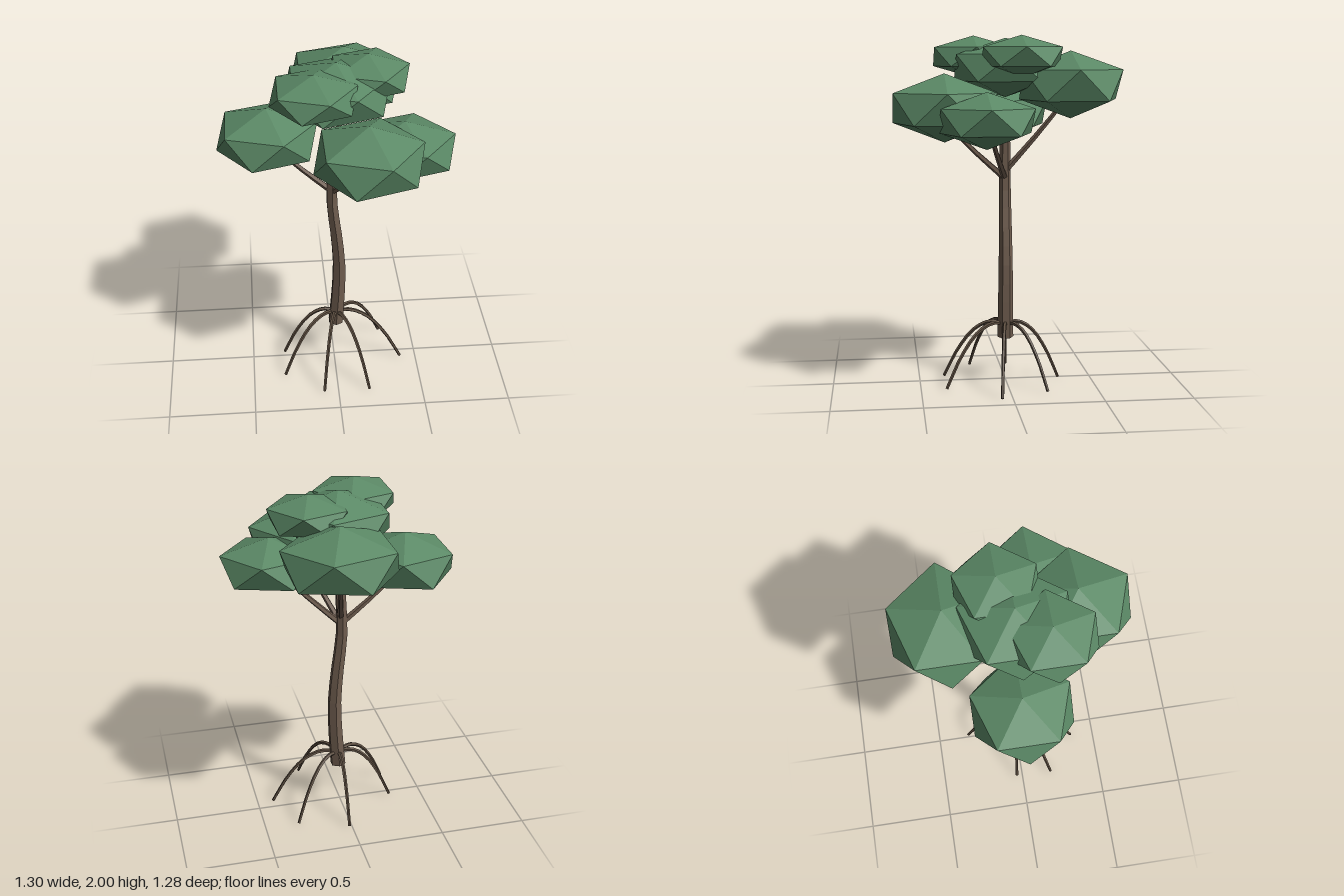
import * as THREE from 'three';

const bark = new THREE.MeshStandardMaterial({ color: 0x6e5c4e });
bark.name = 'bark brown';
const rootBark = new THREE.MeshStandardMaterial({ color: 0x5f5042 });
rootBark.name = 'root brown';
const leaf = new THREE.MeshStandardMaterial({ color: 0x5b8966 });
leaf.name = 'leaf green';

const v = (x, y, z) => new THREE.Vector3(x, y, z);

// Faceted normals stored in the geometry
function faceted(geometry) {
  const g = geometry.index ? geometry.toNonIndexed() : geometry;
  g.computeVertexNormals();
  return g;
}

function part(name, geometry, material) {
  const mesh = new THREE.Mesh(faceted(geometry), material);
  mesh.name = name;
  return mesh;
}

// Tapered limb: rings of a cylinder swept along a curve
function limb(points, r0, r1, sides, steps) {
  const curve = new THREE.CatmullRomCurve3(points);
  const g = new THREE.CylinderGeometry(1, 1, 1, sides, steps);
  const pos = g.attributes.position;
  const up = v(0, 1, 0);
  const p = v(0, 0, 0);
  for (let i = 0; i < pos.count; i++) {
    const t = THREE.MathUtils.clamp(pos.getY(i) + 0.5, 0, 1);
    const r = THREE.MathUtils.lerp(r0, r1, t);
    const turn = new THREE.Quaternion().setFromUnitVectors(up, curve.getTangent(t));
    p.set(pos.getX(i) * r, 0, pos.getZ(i) * r).applyQuaternion(turn).add(curve.getPoint(t));
    pos.setXYZ(i, p.x, p.y, p.z);
  }
  return g;
}

export function createModel() {
  const tree = new THREE.Group();
  tree.name = 'tree';

  // Gently swaying trunk
  const sway = [0.01, 0.025, 0.03, 0.012, -0.012, -0.008, 0.005];
  const spine = sway.map((x, i) => v(x, 0.26 + i * 0.215, 0));
  tree.add(part('trunk', limb(spine, 0.047, 0.028, 6, 12), bark));

  // Branches reaching into the lower leaf clumps
  const branches = new THREE.Group();
  branches.name = 'branches';
  const tips = [
    [-0.34, 1.49, -0.02],
    [0.34, 1.51, 0.13],
    [0.15, 1.51, 0.34],
    [0.08, 1.66, -0.35],
  ];
  tips.forEach(([x, y, z], i) => {
    const start = v(-0.008, i === 3 ? 1.23 : 1.19, 0);
    const end = v(x, y, z);
    const middle = start.clone().lerp(end, 0.5).add(v(0, -0.008, 0));
    branches.add(part('branch', limb([start, middle, end], 0.019, 0.011, 5, 4), bark));
  });
  tree.add(branches);

  // Arched stilt roots: foot positions on the ground (x, z)
  const roots = new THREE.Group();
  roots.name = 'roots';
  const feet = [
    [0.405, 0.06], [0.185, 0.355], [-0.085, 0.355], [-0.31, 0.185],
    [-0.305, -0.035], [0.015, -0.31], [0.30, -0.21],
  ];
  const arch = [[0, 0.34], [0.25, 0.348], [0.5, 0.3], [0.76, 0.18], [1, 0.008]];
  for (const [x, z] of feet) {
    const path = arch.map(([t, y]) => v(0.01 + (x - 0.01) * t, y, z * t));
    roots.add(part('root', limb(path, 0.013, 0.009, 5, 10), rootBark));
  }
  tree.add(roots);

  // Leaf clumps: flattened icosahedra standing on a corner (centre, radii)
  const canopy = new THREE.Group();
  canopy.name = 'canopy';
  const clumps = [
    [0.085, 1.725, -0.362, 0.358, 0.19, 0.33],
    [0.155, 1.6, 0.355, 0.327, 0.19, 0.335],
    [-0.37, 1.55, -0.02, 0.312, 0.17, 0.308],
    [0.37, 1.54, 0.14, 0.311, 0.155, 0.297],
    [0.19, 1.882, -0.07, 0.252, 0.118, 0.257],
    [-0.122, 1.88, 0.17, 0.262, 0.12, 0.268],
    [0.01, 1.82, 0, 0.33, 0.166, 0.335],
  ];
  for (const [x, y, z, rx, ry, rz] of clumps) {
    const g = new THREE.IcosahedronGeometry(1, 0);
    g.rotateX(-Math.atan((1 + Math.sqrt(5)) / 2));
    g.rotateY(Math.PI / 2);
    g.scale(rx, ry, rz);
    g.translate(x, y, z);
    canopy.add(part('leafClump', g, leaf));
  }
  tree.add(canopy);

  return tree;
}
